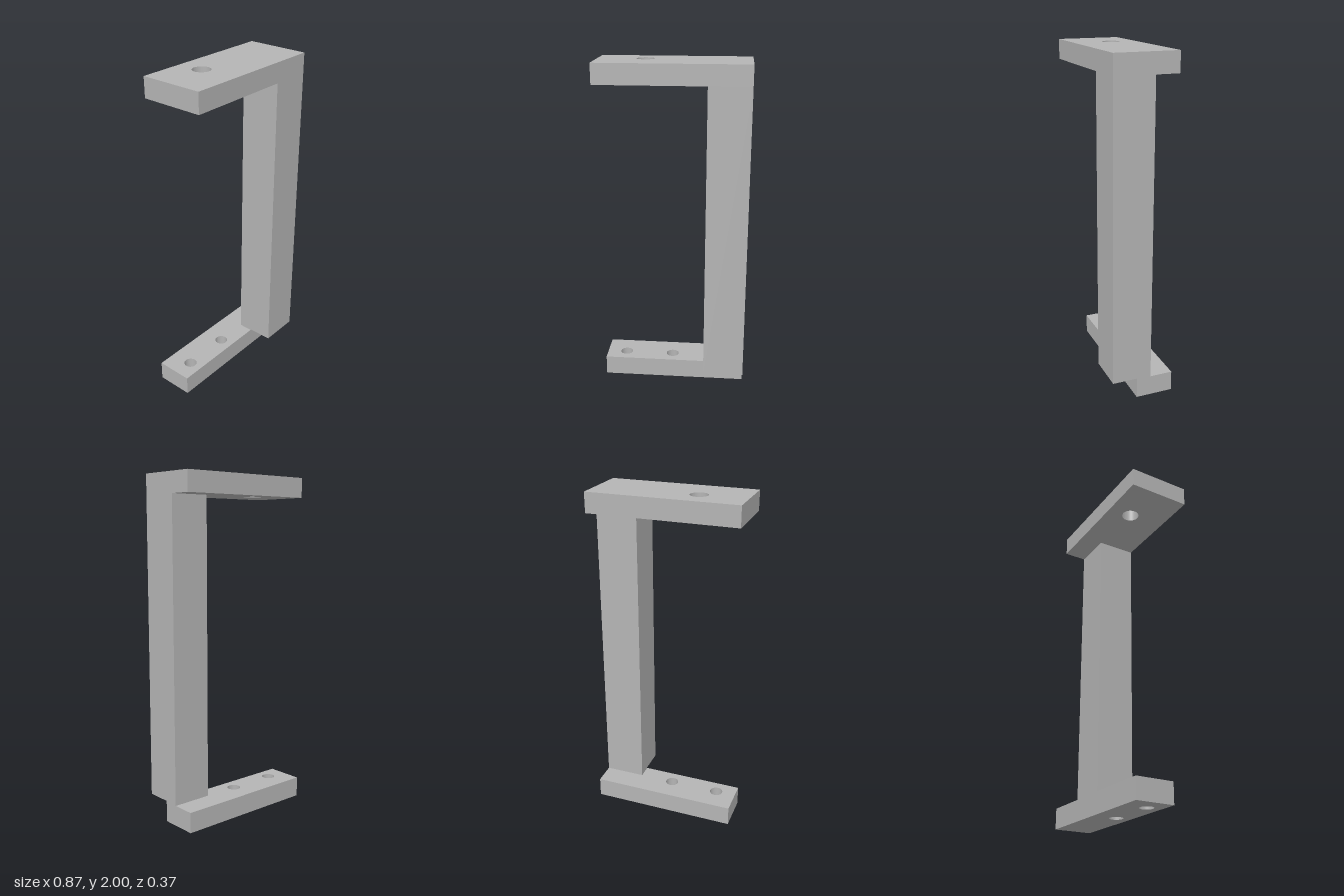
import * as THREE from 'three';

const grey = new THREE.MeshStandardMaterial({ color: 0xb4b4b4 });
grey.name = 'plain grey';

// Flat plate with round through-holes; holes are [x, z, radius]
function plate(name, x0, x1, z0, z1, y0, y1, holes) {
  const shape = new THREE.Shape([
    new THREE.Vector2(x0, -z1), new THREE.Vector2(x1, -z1),
    new THREE.Vector2(x1, -z0), new THREE.Vector2(x0, -z0),
  ]);
  for (const [x, z, r] of holes) {
    shape.holes.push(new THREE.Path().absarc(x, -z, r, 0, Math.PI * 2, true));
  }
  const geo = new THREE.ExtrudeGeometry(shape, { depth: y1 - y0, bevelEnabled: false, curveSegments: 24 });
  geo.rotateX(-Math.PI / 2).translate(0, y0, 0);
  const mesh = new THREE.Mesh(geo, grey);
  mesh.name = name;
  return mesh;
}

// Upright post: side profile (z, y) extruded along x, stepped onto the lower plate
function post(x0, x1) {
  const profile = [[0.187, 0.125], [0.187, 1.883], [-0.05, 1.883], [-0.05, 0.12], [0.037, 0.12], [0.037, 0.125]];
  const shape = new THREE.Shape(profile.map(([z, y]) => new THREE.Vector2(-z, y)));
  const geo = new THREE.ExtrudeGeometry(shape, { depth: x1 - x0, bevelEnabled: false });
  geo.rotateY(Math.PI / 2).translate(x0, 0, 0);
  const mesh = new THREE.Mesh(geo, grey);
  mesh.name = 'post';
  return mesh;
}

export function createModel() {
  const model = new THREE.Group();
  model.name = 'bracket';
  model.add(
    plate('upperPlate', -0.437, 0.437, -0.187, 0.187, 1.883, 2, [[-0.165, -0.04, 0.052]]),
    plate('lowerPlate', -0.437, 0.437, -0.187, 0.037, 0, 0.12, [[-0.315, -0.047, 0.039], [-0.015, -0.047, 0.039]]),
    post(0.195, 0.437),
  );
  return model;
}
